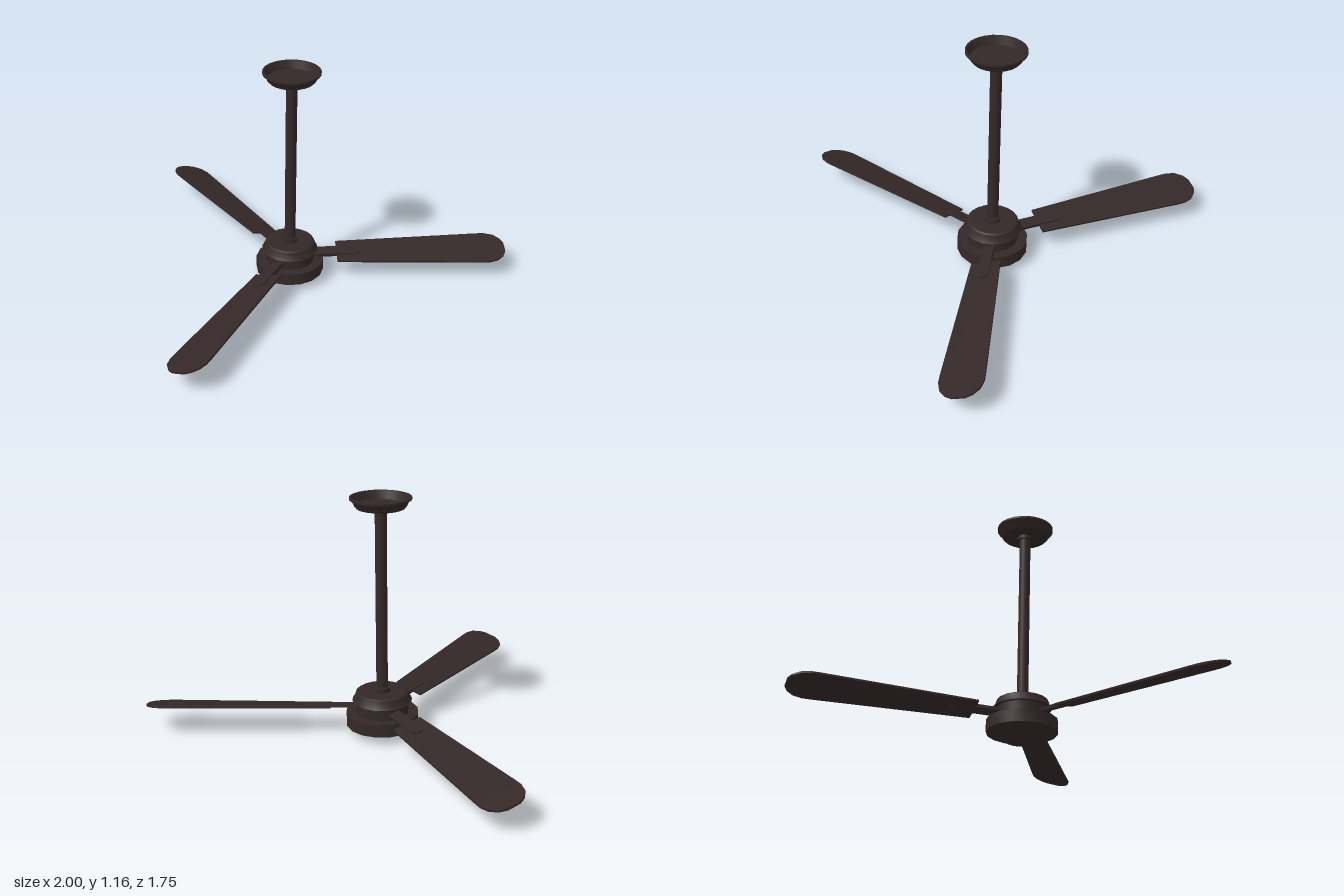
import * as THREE from 'three';
import { toCreasedNormals } from 'three/addons/utils/BufferGeometryUtils.js';

const HUB_Z = -0.26;
const BLADE_Y = 0.13;
const PITCH = THREE.MathUtils.degToRad(14.5);

// Turned part from [radius, height] pairs, listed from bottom to top
function turned(name, profile, sides, material) {
  const points = profile.map(([r, y]) => new THREE.Vector2(r, y));
  const geometry = toCreasedNormals(new THREE.LatheGeometry(points, sides), 0.5);
  const mesh = new THREE.Mesh(geometry, material);
  mesh.name = name;
  return mesh;
}

// Flat plate drawn in (width, length), laid so that its length runs along +z
function plate(name, shape, thickness, y, material) {
  const geometry = new THREE.ExtrudeGeometry(shape, {
    depth: thickness, bevelEnabled: false, curveSegments: 6,
  });
  geometry.rotateX(Math.PI / 2); // length to +z, thickness to -y
  geometry.translate(0, y, 0);
  const mesh = new THREE.Mesh(geometry, material);
  mesh.name = name;
  return mesh;
}

// Paddle outline mirrored from one side: [half width, distance from hub]
function bladeShape() {
  const side = [[0.072, 0.245], [0.102, 1.0], [0.102, 1.04], [0.09, 1.085], [0.062, 1.118], [0.03, 1.134]];
  const mirrored = side.map(([w, l]) => [-w, l]).reverse();
  return new THREE.Shape([...side, ...mirrored].map(([w, l]) => new THREE.Vector2(w, l)));
}

// Arm with a rounded outer end
function armShape() {
  const shape = new THREE.Shape();
  shape.moveTo(-0.028, 0.09);
  shape.lineTo(0.028, 0.09);
  shape.lineTo(0.028, 0.34);
  shape.absarc(0, 0.34, 0.028, 0, Math.PI, false);
  shape.closePath();
  return shape;
}

export function createModel() {
  const bronze = new THREE.MeshStandardMaterial({ color: 0x342828 });
  bronze.name = 'dark bronze';

  const fan = new THREE.Group();
  fan.name = 'ceilingFan';
  fan.position.z = HUB_Z;

  // Ceiling canopy: a shallow cup open at the top
  fan.add(turned('canopy', [
    [0, 1.11], [0.113, 1.11], [0.138, 1.15], [0.144, 1.15], [0.144, 1.16],
    [0.136, 1.16], [0.122, 1.12], [0, 1.12],
  ], 24, bronze));

  // Rod with a collar at each end
  fan.add(turned('upperCollar', [[0, 1.092], [0.04, 1.092], [0.04, 1.112], [0, 1.112]], 16, bronze));
  fan.add(turned('downRod', [[0.028, 0.2], [0.028, 1.1]], 16, bronze));
  fan.add(turned('lowerCollar', [[0.04, 0.2], [0.04, 0.23], [0, 0.23]], 16, bronze));

  // Motor cap above the blades
  fan.add(turned('motorCap', [
    [0.126, 0.1], [0.126, 0.165], [0.144, 0.165], [0.135, 0.178],
    [0.126, 0.205], [0.118, 0.21], [0, 0.21],
  ], 20, bronze));

  // Wide lower housing with a tapered bottom
  fan.add(turned('lowerHousing', [
    [0, 0], [0.078, 0], [0.15, 0.04], [0.175, 0.042], [0.175, 0.104], [0, 0.104],
  ], 16, bronze));

  // Three pitched blades, each on its arm
  for (let i = 0; i < 3; i++) {
    const blade = new THREE.Group();
    blade.name = 'bladeAssembly' + (i + 1);
    blade.position.y = BLADE_Y;
    blade.rotation.set(0, (i * Math.PI * 2) / 3, PITCH, 'YXZ');
    blade.add(plate('blade', bladeShape(), 0.01, 0.005, bronze));
    blade.add(plate('bladeArm', armShape(), 0.018, 0.012, bronze));
    fan.add(blade);
  }

  const model = new THREE.Group();
  model.name = 'model';
  model.add(fan);
  return model;
}
